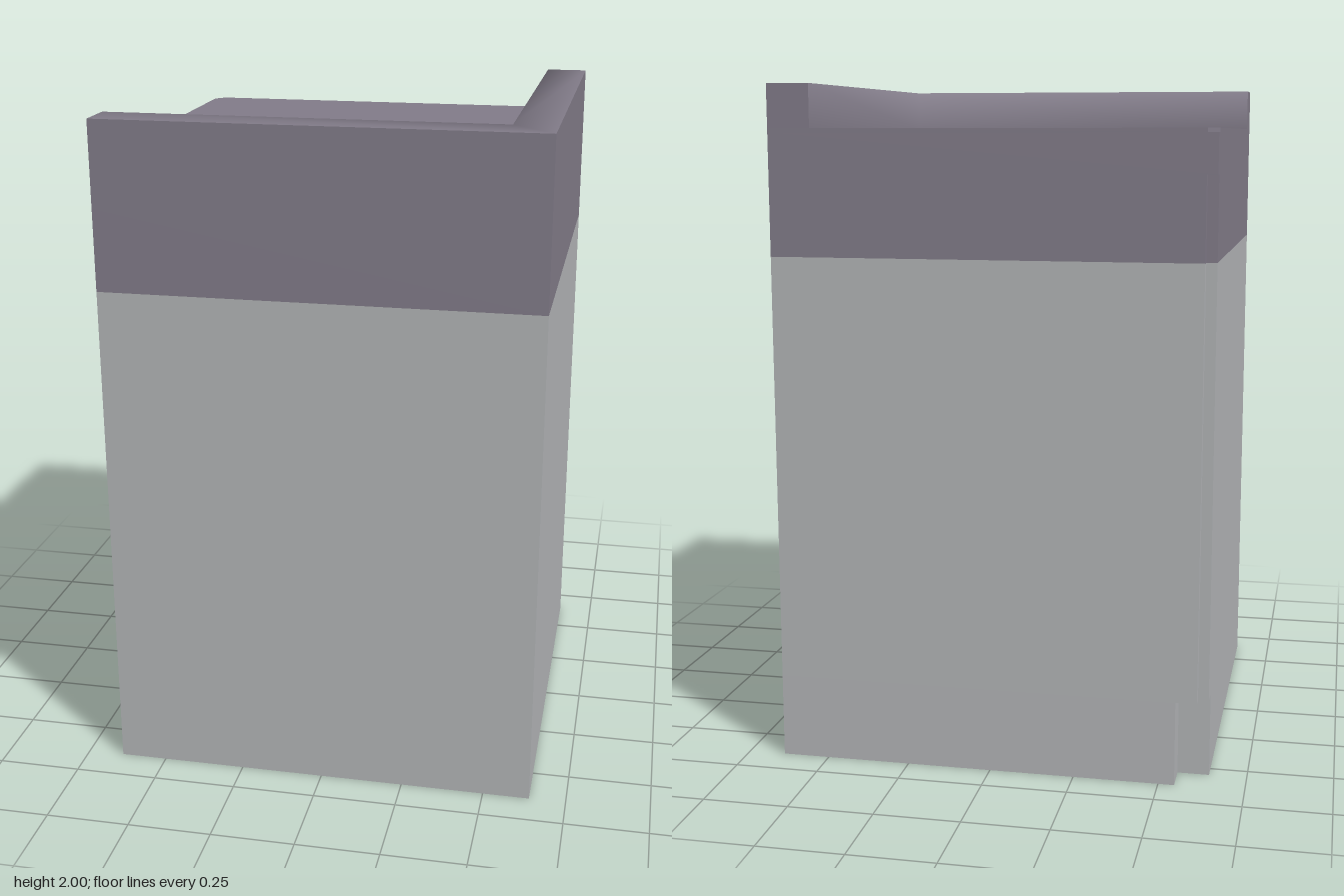
import * as THREE from 'three';

const H = 0.64;       // half width of the block
const INNER = 0.515;  // inner edge of the rim
const DECK = 1.875;   // height of the sunken top
const BAND = 1.51;    // where the dark upper band starts
const TOP = 2;

// Square block layer between two heights, its back corner at (-x, -z) notched or chamfered
function layer(y0, y1, cut, chamfer = false) {
  const s = new THREE.Shape();
  s.moveTo(-H, -H);
  s.lineTo(H, -H);
  s.lineTo(H, H);
  if (cut > 0) {
    s.lineTo(-H + cut, H);
    if (!chamfer) s.lineTo(-H + cut, H - cut);
    s.lineTo(-H, H - cut);
  } else {
    s.lineTo(-H, H);
  }
  const g = new THREE.ExtrudeGeometry(s, { depth: y1 - y0, bevelEnabled: false });
  return g.rotateX(-Math.PI / 2).translate(0, y0, 0);
}

// Surface over the L-shaped rim: each row is [offset from centre, height]
function rimStrip(rows, smooth) {
  const pos = [], index = [];
  for (const [r, y] of rows) pos.push(-H, y, r, r, y, r, r, y, -H);
  for (let i = 0; i < rows.length - 1; i++) {
    for (let j = 0; j < 2; j++) {
      const a = i * 3 + j, b = a + 1, c = a + 3, d = a + 4;
      index.push(a, b, c, b, d, c);
    }
  }
  let g = new THREE.BufferGeometry();
  g.setAttribute('position', new THREE.Float32BufferAttribute(pos, 3));
  g.setIndex(index);
  if (!smooth) g = g.toNonIndexed();
  g.computeVertexNormals();
  return g;
}

export function createModel() {
  const model = new THREE.Group();
  const grey = new THREE.MeshStandardMaterial({ color: 0xb0b2b4 });
  grey.name = 'pale grey';
  const purple = new THREE.MeshStandardMaterial({ color: 0x807a87 });
  purple.name = 'dusky purple';

  const add = (name, geometry, material) => {
    const mesh = new THREE.Mesh(geometry, material);
    mesh.name = name;
    model.add(mesh);
  };

  // Body, with a wide notch at the foot and a narrow groove above it
  add('foot', layer(0, 0.25, 0.093), grey);
  add('body', layer(0.25, BAND, 0.031), grey);

  // Upper band: the groove ends below a full corner with a small worn tip
  add('groovedBand', layer(BAND, 1.75, 0.031), purple);
  add('upperBand', layer(1.75, 1.863, 0), purple);
  add('deck', layer(1.863, DECK, 0.03, true), purple);

  // Raised rim along the front and left sides
  add('rimTop', rimStrip([[H, TOP], [INNER, TOP], [INNER, DECK]], true), purple);
  add('rimOuterWall', rimStrip([[H, DECK], [H, TOP]], false), purple);

  // End faces of the rim
  const w = H - INNER, h = TOP - DECK, mid = (H + INNER) / 2, y = (TOP + DECK) / 2;
  add('rimFrontEnd', new THREE.PlaneGeometry(w, h).rotateY(-Math.PI / 2).translate(-H, y, mid), purple);
  add('rimBackEnd', new THREE.PlaneGeometry(w, h).rotateY(Math.PI).translate(mid, y, -H), purple);

  return model;
}
